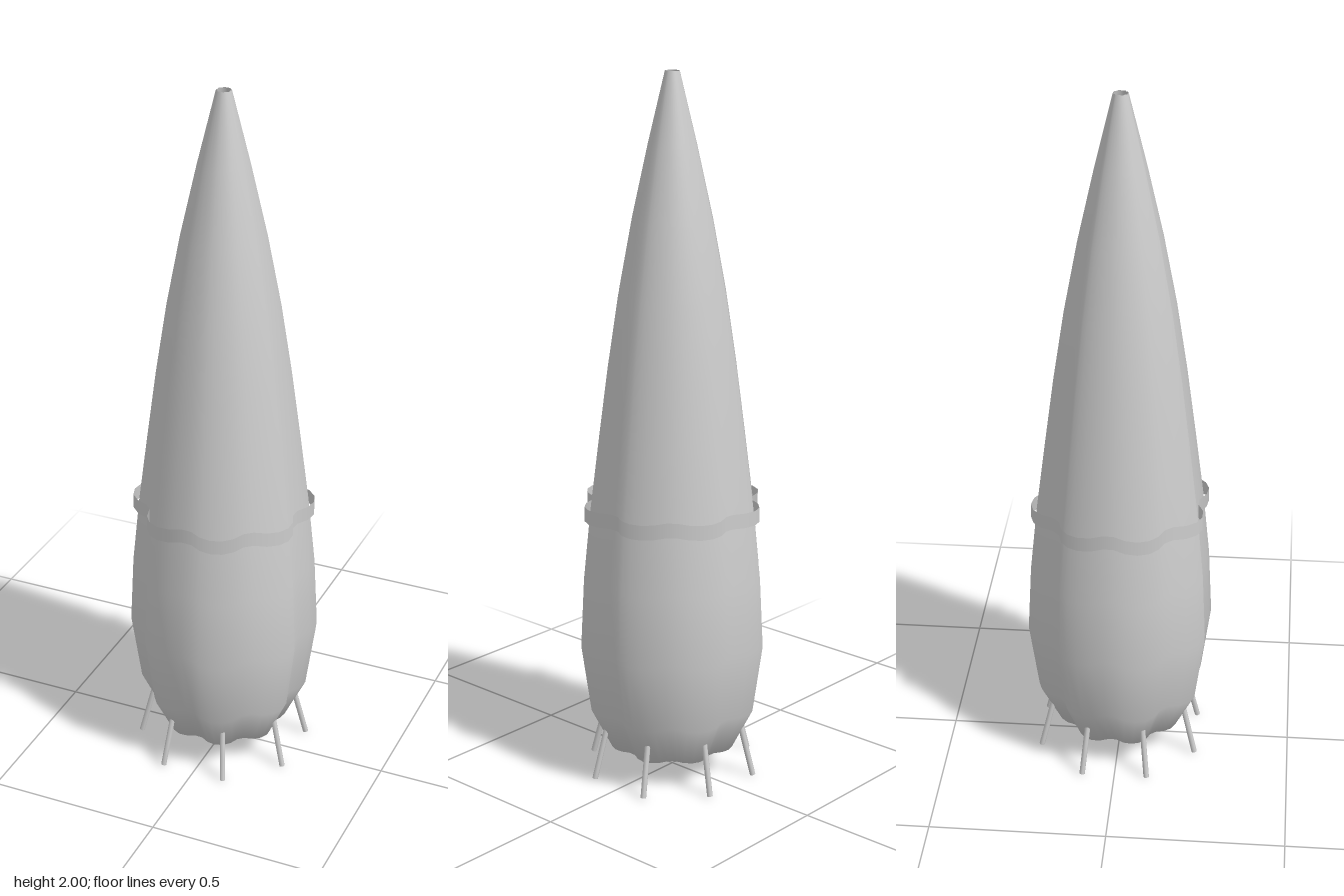
import * as THREE from 'three';

const SEGMENTS = 48;
const LOBES = 8;

// Turn a [radius, height] profile, then push the wall into eight rounded lobes.
// The round normals of the turned form are kept, so shading stays soft.
function lobedLathe(profile) {
  const points = profile.map(([r, y]) => new THREE.Vector2(r, y));
  const geometry = new THREE.LatheGeometry(points, SEGMENTS);
  const pos = geometry.attributes.position;
  const offset = Math.PI / SEGMENTS; // valleys sit half a segment off the axes
  for (let i = 0; i < pos.count; i++) {
    const angle = Math.atan2(pos.getZ(i), pos.getX(i));
    const lobe = Math.abs(Math.sin((LOBES / 2) * (angle - offset)));
    const f = 0.86 + 0.185 * lobe;
    pos.setX(i, pos.getX(i) * f);
    pos.setZ(i, pos.getZ(i) * f);
  }
  return geometry;
}

// Cylinder between two points
function rod(a, b, radius, material) {
  const dir = b.clone().sub(a);
  const mesh = new THREE.Mesh(new THREE.CylinderGeometry(radius, radius, dir.length(), 8), material);
  mesh.position.copy(a).add(b).multiplyScalar(0.5);
  mesh.quaternion.setFromUnitVectors(new THREE.Vector3(0, 1, 0), dir.normalize());
  return mesh;
}

export function createModel() {
  const model = new THREE.Group();
  model.name = 'lobedSpire';

  const grey = new THREE.MeshStandardMaterial({ color: 0xcccccc, side: THREE.DoubleSide });
  grey.name = 'pale grey';

  // Tapering hull, open at the tip and at the small hole underneath
  const hull = new THREE.Mesh(lobedLathe([
    [0.045, 0.03], [0.175, 0.08], [0.233, 0.2], [0.26, 0.4], [0.25, 0.6], [0.23, 0.8],
    [0.205, 1.0], [0.179, 1.2], [0.149, 1.4], [0.112, 1.6], [0.068, 1.8], [0.02, 2.0],
  ]), grey);
  hull.name = 'hull';
  model.add(hull);

  // Thin open band standing just off the hull
  const band = new THREE.Mesh(lobedLathe([[0.246, 0.77], [0.246, 0.812]]), grey);
  band.name = 'band';
  model.add(band);

  // Eight splayed legs
  const legs = new THREE.Group();
  legs.name = 'legs';
  for (let i = 0; i < LOBES; i++) {
    const angle = ((i + 0.5) / LOBES) * Math.PI * 2;
    const at = (r, y) => new THREE.Vector3(r * Math.cos(angle), y, r * Math.sin(angle));
    const leg = rod(at(0.207, 0.15), at(0.245, 0.002), 0.008, grey);
    leg.name = 'leg';
    legs.add(leg);
  }
  model.add(legs);

  return model;
}
